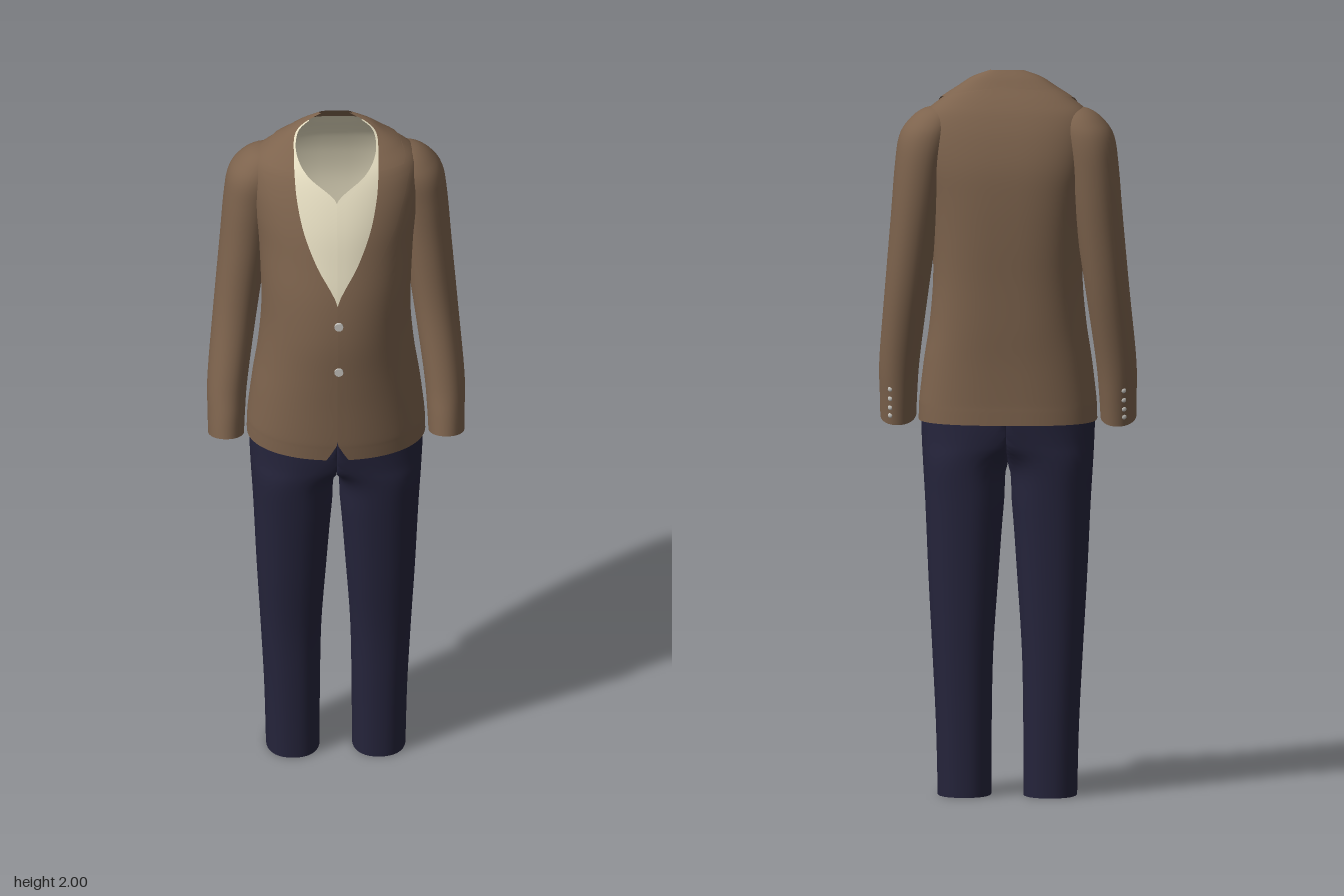
import * as THREE from 'three';

const mat = (name, color) => {
  const m = new THREE.MeshStandardMaterial({ color, side: THREE.DoubleSide });
  m.name = name;
  return m;
};

// Smooth interpolation of every column of a key table at fractional row v
function sample(keys, v) {
  const i = Math.min(Math.floor(v), keys.length - 2), t = v - i;
  const row = k => keys[Math.max(0, Math.min(keys.length - 1, k))];
  return keys[0].map((_, c) => {
    const a = row(i - 1)[c], b = row(i)[c], d = row(i + 1)[c], e = row(i + 2)[c];
    return b + 0.5 * t * (d - a + t * (2 * a - 5 * b + 4 * d - e + t * (3 * (b - d) + e - a)));
  });
}
const linear = (list, v) => {
  const i = Math.min(Math.floor(v), list.length - 2);
  return list[i] + (list[i + 1] - list[i]) * (v - i);
};
const spow = (s, p) => Math.sign(s) * Math.pow(Math.abs(s), p);

// Surface from fn(u, v) -> [x, y, z]; side = -1 mirrors it in x
function surface(nu, nv, fn, side = 1) {
  const pos = [], idx = [];
  for (let j = 0; j <= nv; j++) for (let i = 0; i <= nu; i++) {
    const [x, y, z] = fn(i / nu, j / nv);
    pos.push(x * side, y, z);
  }
  for (let j = 0; j < nv; j++) for (let i = 0; i < nu; i++) {
    const a = j * (nu + 1) + i, b = a + 1, c = a + nu + 1, d = c + 1;
    if (side > 0) idx.push(a, b, d, a, d, c);
    else idx.push(a, d, b, a, c, d);
  }
  const g = new THREE.BufferGeometry();
  g.setAttribute('position', new THREE.Float32BufferAttribute(pos, 3));
  g.setIndex(idx);
  g.computeVertexNormals();
  return g;
}

// Torso: y, half width, front z, back z, middle z, jacket opening, shirt opening
const TORSO = [
  [1.035, 0.243, 0.170, -0.165, 0, 0.03, 0],
  [1.07, 0.242, 0.174, -0.165, 0, 0.01, 0],
  [1.10, 0.240, 0.177, -0.165, 0, 0, 0],
  [1.20, 0.228, 0.183, -0.168, 0, 0, 0],
  [1.30, 0.213, 0.190, -0.174, 0, 0, 0],
  [1.42, 0.203, 0.196, -0.180, -0.005, 0, 0],
  [1.54, 0.205, 0.187, -0.187, -0.01, 0, 0],
  [1.65, 0.212, 0.165, -0.190, -0.025, 0.055, 0],
  [1.74, 0.225, 0.142, -0.187, -0.04, 0.09, 0],
  [1.82, 0.232, 0.110, -0.172, -0.05, 0.108, 0],
  [1.88, 0.222, 0.075, -0.152, -0.055, 0.114, 0.08],
  [1.92, 0.180, 0.035, -0.132, -0.058, 0.115, 0.112],
  [1.955, 0.128, -0.010, -0.110, -0.06, 0.112, 0.112],
  [1.98, 0.090, -0.040, -0.095, -0.062, 0.087, 0.087],
  [2.00, 0.040, -0.070, -0.080, -0.075, 0.039, 0.039],
];
const NF = 2.1, NB = 2.8; // roundness of front and back
const angleAt = (x, w) => Math.asin(Math.pow(Math.min(0.995, Math.max(0, x) / w), NF / 2));
const opening = (v, col) => {
  const k = sample(TORSO, v);
  return angleAt(k[col], k[1]);
};
function torsoPoint(v, a, off = 0) {
  const [y, w, zf, zb, cz] = sample(TORSO, v);
  const s = Math.sin(a), c = Math.cos(a), p = 2 / (c > 0 ? NF : NB);
  const depth = c > 0 ? zf + off - cz : cz - zb + off;
  return [(w + off) * spow(s, p), y + Math.max(off, 0) * 0.5, cz + depth * spow(c, p)];
}
function torso(v0, v1, col, off) {
  return surface(72, 70, (u, t) => {
    const v = v0 + (v1 - v0) * t, a = opening(v, col);
    return torsoPoint(v, a + (2 * Math.PI - 2 * a) * u, off);
  });
}

// Thin panel lying on the jacket from its opening edge to endAngle(v)
const panel = (v0, v1, endAngle, side) => surface(20, 24, (u, t) => {
  const v = v0 + (v1 - v0) * t, a = opening(v, 5);
  return torsoPoint(v, a + Math.max(0, endAngle(v) - a) * u, 0.004);
}, side);

// Sleeve rings: y, centre x, centre z, radius x, radius z, tilt
const SLEEVE = [
  [1.04, 0.300, 0.022, 0.049, 0.074, 0.28],
  [1.10, 0.299, 0.010, 0.051, 0.075, 0.22],
  [1.20, 0.295, -0.012, 0.055, 0.075, 0.1],
  [1.40, 0.273, -0.052, 0.060, 0.079, 0],
  [1.60, 0.250, -0.070, 0.066, 0.088, 0],
  [1.74, 0.234, -0.074, 0.071, 0.092, 0],
  [1.82, 0.220, -0.072, 0.073, 0.088, 0],
  [1.865, 0.203, -0.070, 0.062, 0.070, 0],
  [1.893, 0.188, -0.068, 0.040, 0.042, 0],
  [1.903, 0.178, -0.066, 0.004, 0.004, 0],
];
// Leg rings: y, centre x, centre z, radius x, radius z, tilt
const LEG = [
  [0.006, 0.117, -0.036, 0.073, 0.090, 0],
  [0.20, 0.119, -0.033, 0.076, 0.093, 0],
  [0.40, 0.122, -0.028, 0.083, 0.098, 0],
  [0.60, 0.121, -0.016, 0.095, 0.111, 0],
  [0.80, 0.118, -0.005, 0.107, 0.125, 0],
  [0.92, 0.113, 0.000, 0.119, 0.134, 0],
  [0.98, 0.060, 0.001, 0.175, 0.139, 0],
  [1.04, 0.010, 0.002, 0.226, 0.146, 0],
  [1.12, 0.000, 0.003, 0.228, 0.150, 0],
  [1.20, 0.000, 0.003, 0.208, 0.148, 0],
];
const tube = (keys, v0, v1, side, n, inset = 0) => surface(36, 48, (u, t) => {
  const [y, cx, cz, rx, rz, tilt] = sample(keys, v0 + (v1 - v0) * t);
  const a = -Math.PI / 2 + 2 * Math.PI * u;
  const dz = (rz - inset) * spow(Math.cos(a), 2 / n);
  return [Math.max(0.001, cx + (rx - inset) * spow(Math.sin(a), 2 / n)), y + dz * tilt, cz + dz];
}, side);

export function createModel() {
  const model = new THREE.Group();
  model.name = 'suit';
  const brown = mat('jacket brown', 0x7d634d);
  const navy = mat('trouser navy', 0x25243b);
  const cream = mat('shirt cream', 0xe4dcc0);
  const silver = mat('button silver', 0xc4c2bc);
  const add = (name, geometry, material) => {
    const m = new THREE.Mesh(geometry, material);
    m.name = name;
    model.add(m);
    return m;
  };

  add('jacketBody', torso(0, 14, 5, 0), brown);
  add('shirt', torso(3, 13.2, 6, -0.008), cream);

  const lapelWidth = [0.004, 0.115, 0.16, 0.185, 0.2];
  const collarEnd = [50, 80, 180, 180, 180];
  const lapelEnd = v => angleAt(linear(lapelWidth, v - 6), sample(TORSO, v)[1]);
  const collarEdge = v => THREE.MathUtils.degToRad(linear(collarEnd, v - 10));

  for (const [side, label] of [[1, 'left'], [-1, 'right']]) {
    add(label + 'Lapel', panel(6, 9.9, lapelEnd, side), brown);
    add(label + 'Collar', panel(10.2, 14, collarEdge, side), brown);
    add(label + 'Sleeve', tube(SLEEVE, 0, 9, side, 2.1), brown);
    add(label + 'ShirtCuff', tube(SLEEVE, 0.1, 2, side, 2.1, 0.005), cream);
    add(label + 'TrouserLeg', tube(LEG, 0, 9, side, 2.3), navy);

    // Small buttons along the back of each cuff
    for (let i = 0; i < 4; i++) {
      const [y, cx, cz, rx, rz, tilt] = sample(SLEEVE, 0.5 + i * 0.3);
      const a = 2.75;
      const b = add(label + 'CuffButton', new THREE.SphereGeometry(0.007, 12, 8), silver);
      b.scale.z = 0.5;
      b.rotation.y = side * a;
      b.position.set(side * (cx + rx * Math.sin(a)), y + rz * Math.cos(a) * tilt, cz + rz * Math.cos(a));
    }
  }

  // Two front buttons
  for (const v of [5.5, 4.3]) {
    const [x, y, z] = torsoPoint(v, 0);
    const b = add('frontButton', new THREE.CylinderGeometry(0.012, 0.012, 0.007, 20), silver);
    b.rotation.x = Math.PI / 2;
    b.position.set(x + 0.003, y, z + 0.003);
  }
  return model;
}
